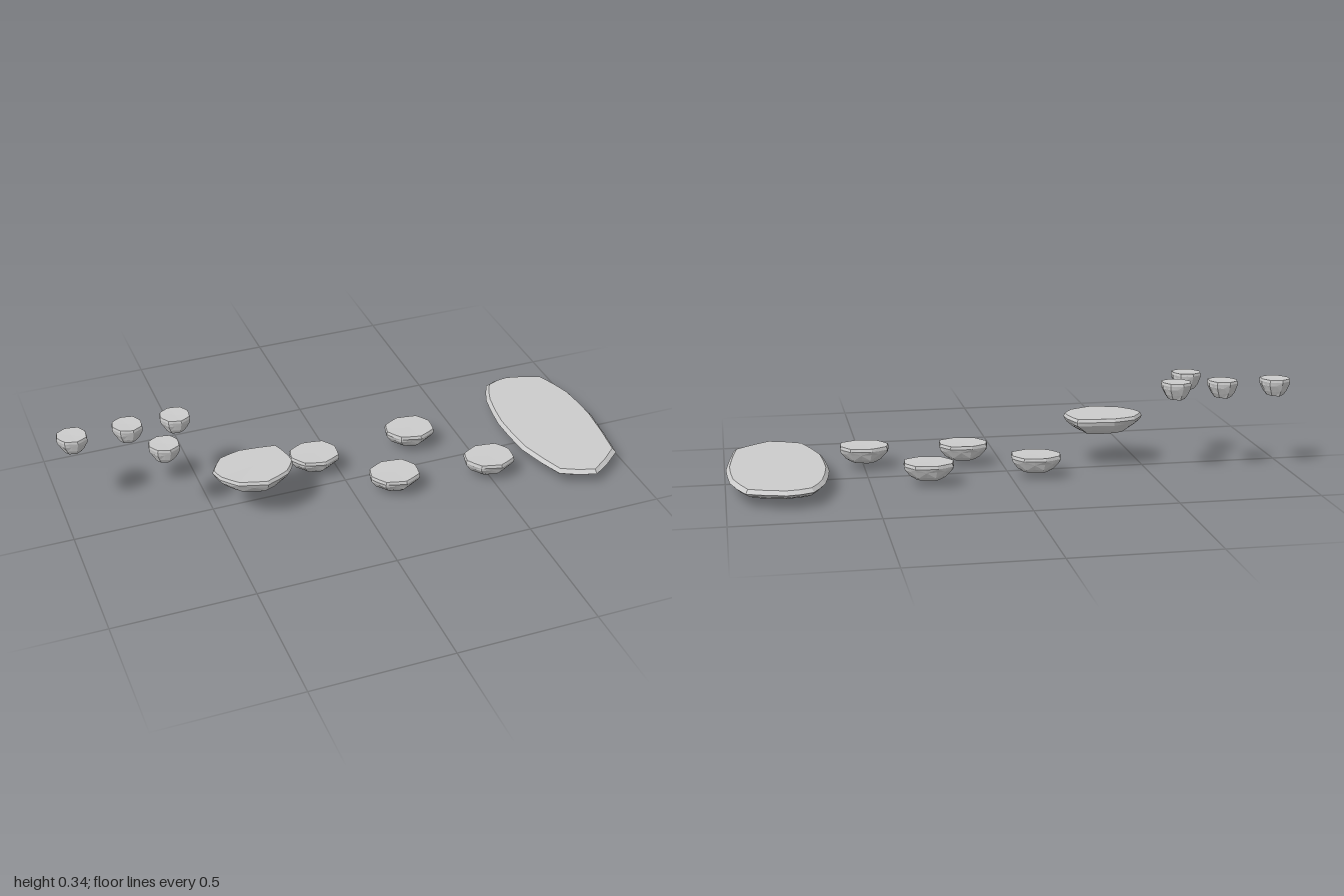
import * as THREE from 'three';

const material = new THREE.MeshStandardMaterial({ color: 0xcccccc, flatShading: true });

// small seeded generator, so every stone has its own but repeatable chips
function seeded(seed) {
  let s = seed;
  return () => {
    s = (s * 16807) % 2147483647;
    return s / 2147483647 - 0.5;
  };
}

// A stone slab: an outline (x, z clockwise from above) swept down through
// rings of [scaleX, scaleZ, y, roughness], closed by a centre point at each end.
function stoneGeometry(outline, rings, seed) {
  const rand = seeded(seed);
  const loop = [];
  outline.forEach(([x, z], i) => {
    const [nx, nz] = outline[(i + 1) % outline.length];
    loop.push([x, z], [(x + nx) / 2 * 1.015, (z + nz) / 2 * 1.015]);
  });
  const n = loop.length;
  const height = rings[0][2] - rings[rings.length - 1][2];
  const positions = [];
  const index = [];

  positions.push(0, rings[0][2] - height * 0.02, 0);
  for (const [sx, sz, y, rough] of rings) {
    for (const [x, z] of loop) {
      const k = 1 + rand() * rough;
      positions.push(x * sx * k, y + rand() * rough * height * 0.8, z * sz * k);
    }
  }
  positions.push(0, rings[rings.length - 1][2], 0);

  const last = 1 + rings.length * n;
  for (let i = 0; i < n; i++) {
    const j = (i + 1) % n;
    index.push(0, 1 + j, 1 + i);
    for (let r = 0; r < rings.length - 1; r++) {
      const a = 1 + r * n, b = a + n;
      // alternate the diagonal for a chipped look
      if ((i + r) % 2) index.push(a + i, a + j, b + j, a + i, b + j, b + i);
      else index.push(a + i, a + j, b + i, a + j, b + j, b + i);
    }
    index.push(last - n + i, last - n + j, last);
  }

  const geometry = new THREE.BufferGeometry();
  geometry.setAttribute('position', new THREE.Float32BufferAttribute(positions, 3));
  geometry.setIndex(index);
  geometry.computeVertexNormals();
  return geometry;
}

export function createModel() {
  const group = new THREE.Group();
  const add = (name, geometry, x, y, z) => {
    const mesh = new THREE.Mesh(geometry, material);
    mesh.name = name;
    mesh.position.set(x, y, z);
    group.add(mesh);
  };

  // long, low landing slab
  const slabOutline = [
    [-0.107, -0.33], [-0.017, -0.353], [0.118, -0.31], [0.168, -0.17], [0.178, 0], [0.148, 0.25],
    [0.018, 0.35], [-0.107, 0.3], [-0.167, 0.12], [-0.177, -0.07], [-0.152, -0.23],
  ];
  add('landingSlab', stoneGeometry(slabOutline, [
    [0.93, 0.96, 0.065, 0], [1, 1, 0.052, 0.01], [0.9, 0.92, 0.037, 0.05],
    [0.74, 0.8, 0.02, 0.08], [0.56, 0.62, 0.005, 0.05], [0.28, 0.3, 0.002, 0.03],
  ], 11), 0.817, 0, 0);

  // middle platform
  const platformOutline = [
    [-0.098, -0.088], [-0.018, -0.112], [0.116, -0.097], [0.137, -0.032], [0.142, 0.018],
    [0.105, 0.073], [0.02, 0.112], [-0.078, 0.083], [-0.128, 0.028], [-0.141, -0.022],
  ];
  add('middlePlatform', stoneGeometry(platformOutline, [
    [0.96, 0.95, 0.065, 0], [1, 1, 0.054, 0.02], [0.95, 0.95, 0.04, 0.05],
    [0.78, 0.84, 0.02, 0.1], [0.6, 0.68, 0.004, 0.07], [0.3, 0.32, 0.001, 0.05],
  ], 23), -0.363, 0.125, 0.053);

  // unit outline shared by the stepping stones
  const stoneOutline = [
    [-0.88, -0.6], [-0.25, -1], [0.6, -0.85], [0.97, -0.2], [0.9, 0.6],
    [0.2, 1], [-0.6, 0.75], [-1, 0.05],
  ];
  const scaled = (sx, sz) => stoneOutline.map(([x, z]) => [x * sx, z * sz]);

  // four wide stepping stones
  const wideStone = stoneGeometry(scaled(0.091, 0.075), [
    [0.96, 0.96, 0.063, 0], [1, 1, 0.052, 0.03], [0.94, 0.93, 0.039, 0.08],
    [0.74, 0.76, 0.018, 0.12], [0.52, 0.55, 0.004, 0.07], [0.26, 0.28, 0.001, 0.05],
  ], 37);
  [[-0.087, -0.092], [0.142, 0.12], [0.3, -0.125], [0.5, 0.147]]
    .forEach(([x, z], i) => add(`wideSteppingStone${i + 1}`, wideStone, x, 0.022, z));

  // four small, steeper stepping stones
  const smallStone = stoneGeometry(scaled(0.053, 0.05), [
    [0.96, 0.96, 0.065, 0], [1, 1, 0.056, 0.02], [0.96, 0.96, 0.043, 0.07],
    [0.76, 0.8, 0.021, 0.1], [0.56, 0.62, 0.004, 0.07], [0.28, 0.3, 0.001, 0.05],
  ], 53);
  [[-0.947, -0.137], [-0.753, -0.137], [-0.583, -0.137], [-0.665, 0.022]]
    .forEach(([x, z], i) => add(`smallSteppingStone${i + 1}`, smallStone, x, 0.272, z));

  return group;
}
